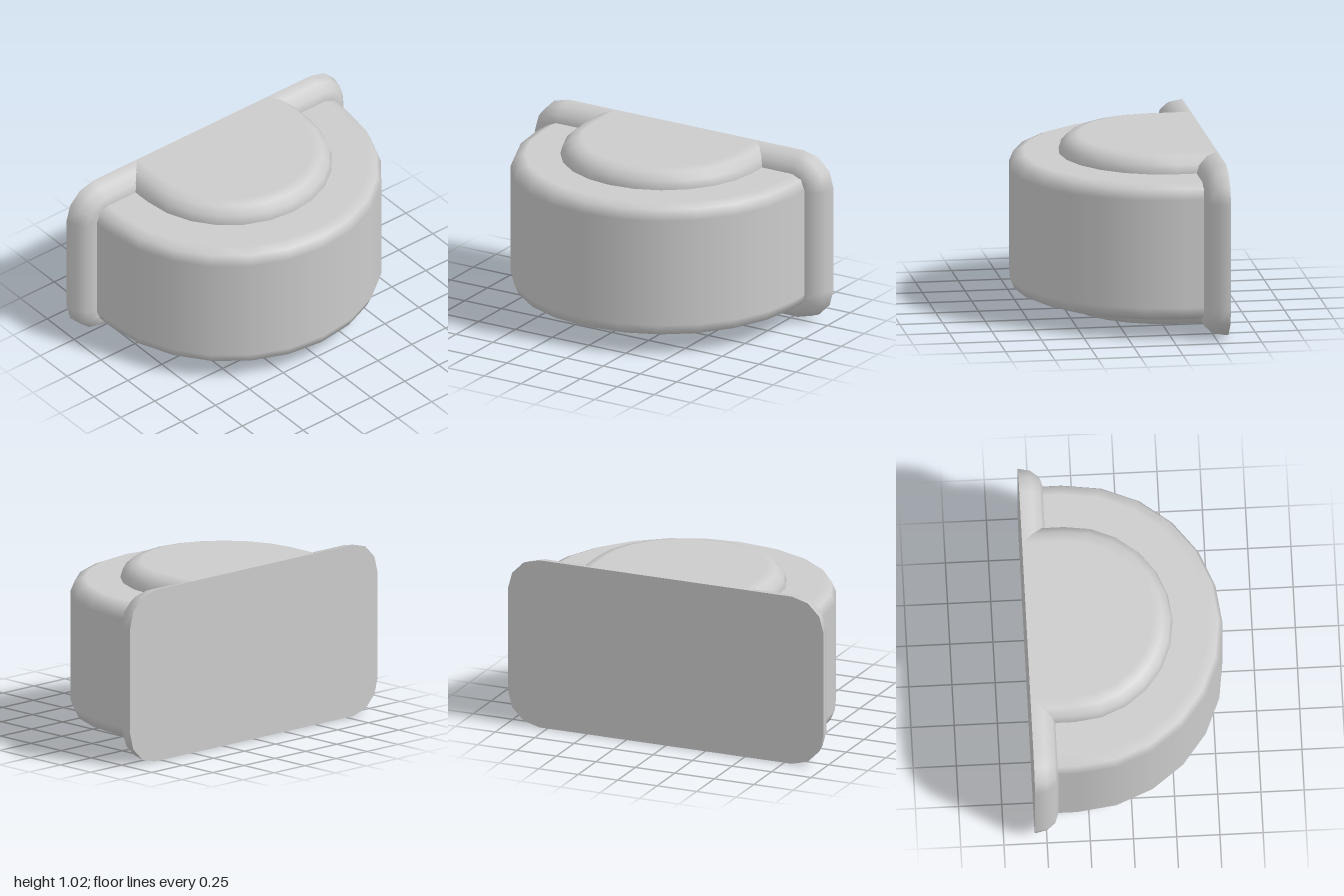
import * as THREE from 'three';

const material = new THREE.MeshStandardMaterial({ color: 0xcccccc });

// Outline stations: an arc centre and a direction; points sit at radius - inset from the centre.
function dOutline(backX, centreX) {
  const list = [{ x: backX, z: 0, a: Math.PI / 2 }];
  for (let i = 0; i <= 12; i++) list.push({ x: centreX, z: 0, a: Math.PI * (0.5 - i / 12) });
  list.push({ x: backX, z: 0, a: -Math.PI / 2 });
  return list;
}

function roundedRectOutline(halfX, halfZ, radius, steps) {
  const list = [];
  const corners = [[1, 1], [1, -1], [-1, -1], [-1, 1]];
  corners.forEach(([sx, sz], k) => {
    for (let i = 0; i <= steps; i++) {
      list.push({ x: sx * (halfX - radius), z: sz * (halfZ - radius), a: Math.PI / 2 * (1 - k - i / steps) });
    }
  });
  list.push(list[0]);
  return list;
}

// Quarter-round edge rising to height top: steps of inset, height and normal tilt.
function roundedEdge(top, inset, drop, steps) {
  return Array.from({ length: steps + 1 }, (_, i) => {
    const t = Math.PI / 2 * i / steps;
    return { inset: inset * (1 - Math.cos(t)), h: top - drop * (1 - Math.sin(t)), t };
  });
}

// Mirrors the rounded edge about the mid height for the underside.
function bothEdges(bottom, top, inset, drop, steps) {
  const upper = roundedEdge(top, inset, drop, steps);
  const lower = upper.map((p) => ({ inset: p.inset, h: bottom + top - p.h, t: -p.t })).reverse();
  return [...lower, ...upper];
}

// Smooth wall through all profile rings, closed by flat end caps.
function loft(outline, radius, profile) {
  const pos = [], nor = [], idx = [], n = outline.length;
  const addRing = ({ inset, h, t }) => {
    for (const { x, z, a } of outline) {
      const c = Math.cos(a), s = Math.sin(a);
      pos.push(x + c * (radius - inset), h, z + s * (radius - inset));
      nor.push(c * Math.cos(t), Math.sin(t), s * Math.cos(t));
    }
  };
  profile.forEach(addRing);
  for (let j = 0; j < profile.length - 1; j++) {
    for (let i = 0; i < n - 1; i++) {
      const p = j * n + i, q = p + n;
      idx.push(p, p + 1, q, p + 1, q + 1, q);
    }
  }
  for (const up of [false, true]) {
    const start = pos.length / 3;
    addRing({ ...profile[up ? profile.length - 1 : 0], t: (up ? 1 : -1) * Math.PI / 2 });
    for (let i = 1; i < n - 1; i++) {
      if (up) idx.push(start, start + i, start + i + 1);
      else idx.push(start, start + i + 1, start + i);
    }
  }
  const geometry = new THREE.BufferGeometry();
  geometry.setAttribute('position', new THREE.Float32BufferAttribute(pos, 3));
  geometry.setAttribute('normal', new THREE.Float32BufferAttribute(nor, 3));
  geometry.setIndex(idx);
  return geometry;
}

export function createModel() {
  const group = new THREE.Group();
  const add = (name, geometry) => {
    const mesh = new THREE.Mesh(geometry, material);
    mesh.name = name;
    group.add(mesh);
    return mesh;
  };

  // Upright plate: flat at the back, rounded towards +x
  const plateProfile = roundedEdge(0.14, 0.11, 0.14, 3);
  const plate = add('backPlate', loft(roundedRectOutline(0.51, 1, 0.2, 3), 0.2, plateProfile));
  plate.rotation.z = -Math.PI / 2;
  plate.position.set(-0.57, 0.51, 0);

  // Wide half-round drum
  add('drum', loft(dOutline(-0.5, -0.322), 0.888, bothEdges(0.105, 0.918, 0.085, 0.085, 2)));

  // Narrower core showing above and below the drum
  add('core', loft(dOutline(-0.57, -0.322), 0.6, bothEdges(0, 1.02, 0.12, 0.105, 3)));

  return group;
}
